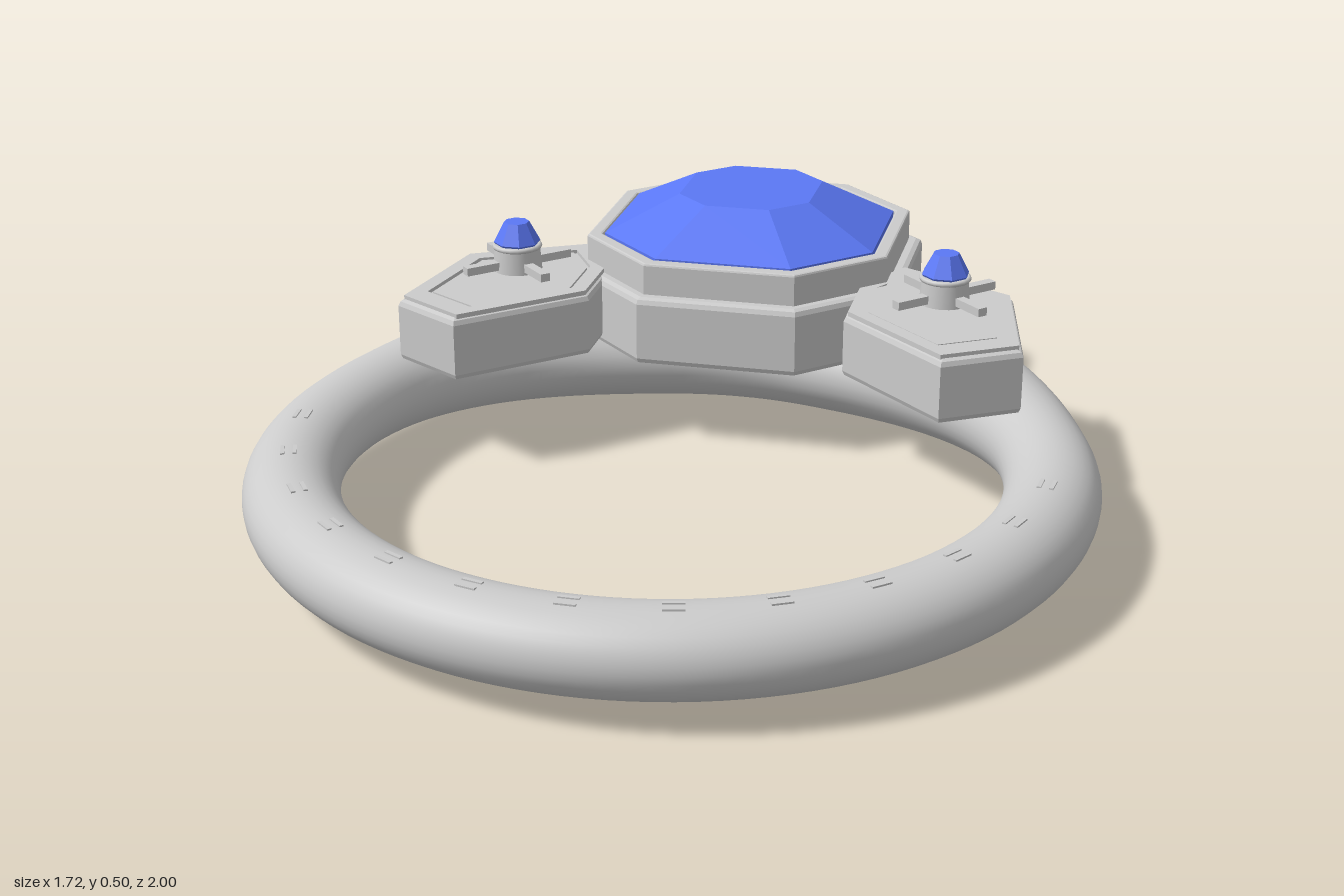
import * as THREE from 'three';
import { ConvexGeometry } from 'three/addons/geometries/ConvexGeometry.js';
import { ParametricGeometry } from 'three/addons/geometries/ParametricGeometry.js';

const metal = new THREE.MeshStandardMaterial({ color: 0xcccccc });
const metalFlat = new THREE.MeshStandardMaterial({ color: 0xcccccc, flatShading: true });
const blue = new THREE.MeshStandardMaterial({ color: 0x5b78f5, flatShading: true });

function add(parent, name, geometry, material = metalFlat) {
  const mesh = new THREE.Mesh(geometry, material);
  mesh.name = name;
  parent.add(mesh);
  return mesh;
}

// Octagon as [x, z] pairs: half sizes hx, hz and half lengths of the flats fx, fz
function octagon(hx, hz, fx, fz, cz) {
  return [[fx, hz], [hx, fz], [hx, -fz], [fx, -hz], [-fx, -hz], [-hx, -fz], [-hx, fz], [-fx, hz]]
    .map(([x, z]) => [x, z + cz]);
}

// Polygon scaled about its middle
function inset(points, k) {
  const n = points.length;
  const mx = points.reduce((s, p) => s + p[0], 0) / n;
  const mz = points.reduce((s, p) => s + p[1], 0) / n;
  return points.map(([x, z]) => [mx + (x - mx) * k, mz + (z - mz) * k]);
}

// Upright bevelled prism from y0 to y1, optionally hollow
function prism(points, y0, y1, bevel, hole) {
  const to2 = (list) => list.map(([x, z]) => new THREE.Vector2(x, -z));
  const shape = new THREE.Shape(to2(points));
  if (hole) shape.holes.push(new THREE.Path(to2(hole)));
  const geometry = new THREE.ExtrudeGeometry(shape, {
    depth: y1 - y0 - 2 * bevel, bevelEnabled: bevel > 0,
    bevelSize: bevel, bevelThickness: bevel, bevelOffset: -bevel, bevelSegments: 2,
  });
  return geometry.rotateX(-Math.PI / 2).translate(0, y0 + bevel, 0);
}

// Band whose oval section swells toward the back, where angle is 0
const RING_Z = 0.14;
function bandPoint(u, v, target) {
  const a = (v - 0.5) * Math.PI * 2;
  const t = u * Math.PI * 2;
  const deg = Math.abs(a) * 180 / Math.PI;
  const wide = 1 - THREE.MathUtils.smoothstep(deg, 15, 72);
  const tall = 1 - THREE.MathUtils.smoothstep(deg, 12, 88);
  const outer = 0.858 + 0.112 * wide;
  const inner = 0.665 - 0.085 * wide;
  const r = (outer + inner) / 2 + Math.cos(t) * (outer - inner) / 2;
  const y = 0.133 - 0.005 * tall + Math.sin(t) * (0.085 + 0.038 * tall);
  target.set(Math.sin(a) * r, y, RING_Z - Math.cos(a) * r);
}

function buildBand(root) {
  const band = new THREE.Group();
  band.name = 'band';
  add(band, 'bandLoop', new ParametricGeometry(bandPoint, 32, 128), metal);
  // Small paired marks along the front half
  for (let i = -6; i <= 6; i++) {
    const a = i * Math.PI / 13;
    for (const d of [-0.012, 0.012]) {
      const r = 0.762 + d;
      const mark = add(band, 'bandMark', new THREE.BoxGeometry(0.04, 0.01, 0.008));
      mark.position.set(Math.sin(a) * r, 0.215, RING_Z + Math.cos(a) * r);
      mark.rotation.y = a;
    }
  }
  root.add(band);
}

function buildCentre(root) {
  const centre = new THREE.Group();
  centre.name = 'centreSetting';
  const z = -0.625;
  add(centre, 'centreBase', prism(octagon(0.37, 0.375, 0.175, 0.185, z), 0.195, 0.348, 0.014));
  // Rim around the large stone
  const bore = octagon(0.308, 0.312, 0.152, 0.158, z);
  add(centre, 'centreCollar', prism(octagon(0.34, 0.345, 0.166, 0.172, z), 0.34, 0.418, 0.005, bore));
  // Faceted stone: girdle below, table above
  const points = [];
  const ring = (list, y) => list.forEach(([x, pz]) => points.push(new THREE.Vector3(x, y, pz)));
  const girdle = octagon(0.304, 0.306, 0.15, 0.155, z);
  ring(girdle, 0.35);
  ring(girdle, 0.418);
  ring(octagon(0.148, 0.16, 0.072, 0.085, z), 0.5);
  add(centre, 'largeStone', new ConvexGeometry(points), blue);
  // Catch at the back of the collar
  const catchDisc = add(centre, 'backCatch', new THREE.CylinderGeometry(0.035, 0.035, 0.014, 16), metal);
  catchDisc.position.set(0, 0.39, -0.957);
  for (const s of [-1, 1]) {
    const pin = add(centre, 'backPin', new THREE.BoxGeometry(0.06, 0.01, 0.014));
    pin.position.set(s * 0.09, 0.385, -0.971);
  }
  root.add(centre);
}

function buildSide(root, s) {
  const side = new THREE.Group();
  side.name = s > 0 ? 'leftSetting' : 'rightSetting';
  const outline = [[0.36, -0.575], [0.62, -0.435], [0.672, -0.12], [0.515, -0.025], [0.28, -0.245], [0.28, -0.44]]
    .map(([x, z]) => [x * s, z]);
  add(side, 'sideBase', prism(outline, 0.21, 0.35, 0.014));
  // Raised outer rim and inner panel leave a thin groove
  add(side, 'sideRim', prism(inset(outline, 0.95), 0.34, 0.358, 0, inset(outline, 0.76)));
  add(side, 'sidePanel', prism(inset(outline, 0.72), 0.34, 0.355, 0));

  // Small stone in a round cup held by crossed bars
  const holder = new THREE.Group();
  holder.name = 'smallStoneHolder';
  holder.position.set(0.478 * s, 0, -0.365);
  add(holder, 'cup', new THREE.CylinderGeometry(0.05, 0.055, 0.065, 20), metal).position.y = 0.383;
  add(holder, 'cupLip', new THREE.TorusGeometry(0.05, 0.006, 8, 20).rotateX(Math.PI / 2), metal).position.y = 0.41;
  for (let i = 0; i < 2; i++) {
    const bar = add(holder, 'crossBar', new THREE.BoxGeometry(0.26, 0.018, 0.022));
    bar.position.y = 0.371;
    bar.rotation.y = Math.PI / 4 + i * Math.PI / 2;
  }
  const profile = [[0, 0.4], [0.045, 0.41], [0.052, 0.42], [0.028, 0.465], [0, 0.465]]
    .map(([r, y]) => new THREE.Vector2(r, y));
  add(holder, 'smallStone', new THREE.LatheGeometry(profile, 8, Math.PI / 8), blue);
  side.add(holder);
  root.add(side);
}

export function createModel() {
  const root = new THREE.Group();
  root.name = 'jewelledRing';
  buildBand(root);
  buildCentre(root);
  for (const s of [-1, 1]) buildSide(root, s);
  return root;
}
